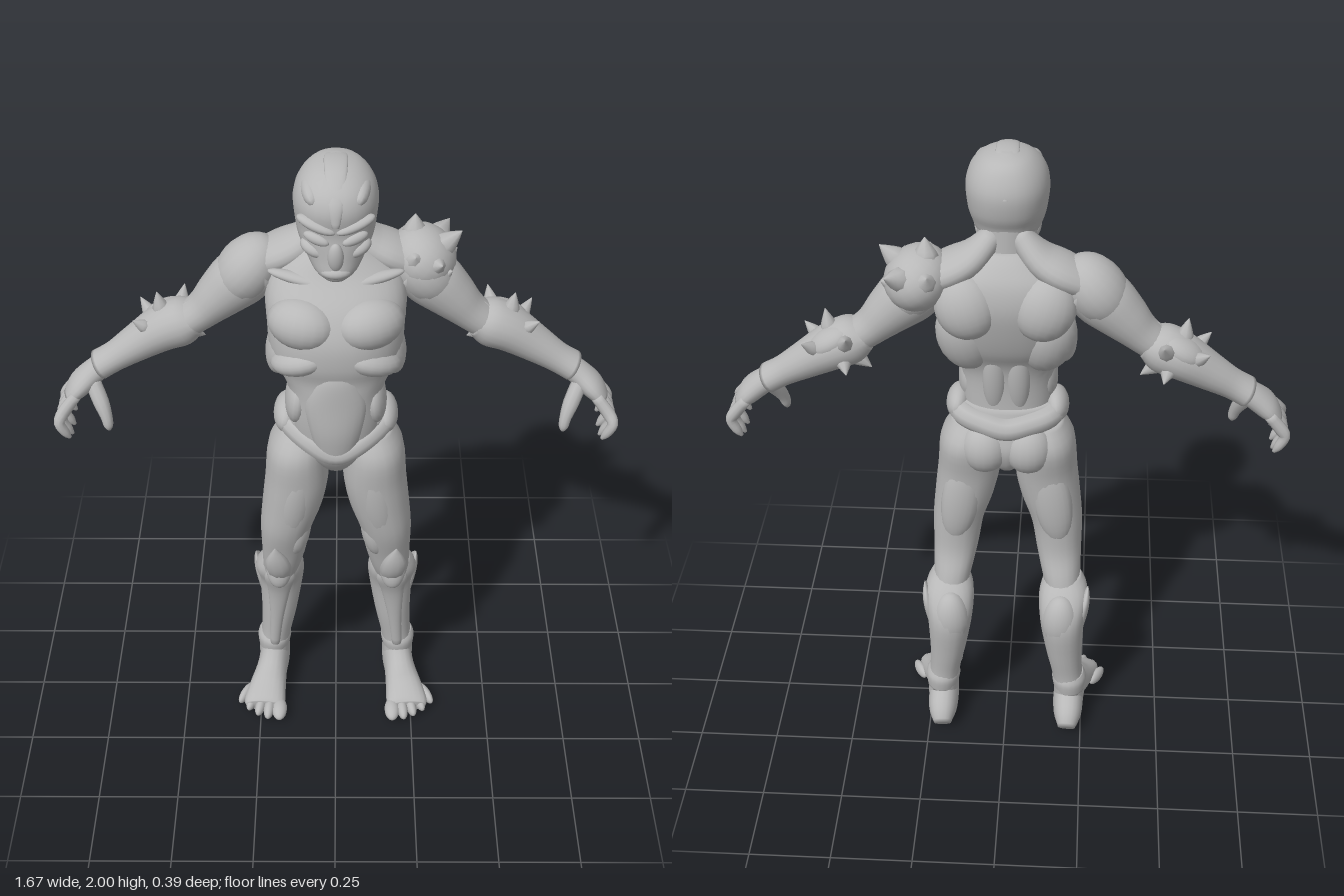
import * as THREE from 'three';

export function createModel() {
  const model = new THREE.Group();
  const grey = new THREE.MeshStandardMaterial({ color: 0xb8b8b8 });
  grey.name = 'stoneGrey';

  const add = (geo, name) => {
    const m = new THREE.Mesh(geo, grey);
    m.name = name;
    model.add(m);
    return m;
  };

  // Smooth skin over rings [x, y, z, halfWidth, halfDepth].
  // axis: 'level' keeps rings horizontal, 'x' or 'z' names the width axis of rings square to the path.
  function loft(name, rings, s = 1, axis = 'level', power = 1, sub = 4, seg = 20) {
    const R = rings.map(r => [r[0] * s, ...r.slice(1)]);
    const at = i => R[Math.max(0, Math.min(R.length - 1, i))];
    const rows = [];
    for (let i = 0; i < R.length - 1; i++) {
      for (let k = 0; k < sub || (i === R.length - 2 && k === sub); k++) {
        const t = k / sub;
        rows.push([0, 1, 2, 3, 4].map(c => {
          const [a, b, d, e] = [at(i - 1)[c], at(i)[c], at(i + 1)[c], at(i + 2)[c]];
          const v = b + 0.5 * t * (d - a + t * (2 * a - 5 * b + 4 * d - e + t * (3 * (b - d) + e - a)));
          return c > 2 ? Math.max(v, 0.0005) : v;
        }));
      }
    }
    const P = rows.map(r => new THREE.Vector3(r[0], r[1], r[2]));
    const pos = [], idx = [];
    const bend = v => Math.sign(v) * Math.abs(v) ** power;
    rows.forEach((r, i) => {
      const t = P[Math.min(i + 1, P.length - 1)].clone().sub(P[Math.max(i - 1, 0)]).normalize();
      if (axis === 'level') t.set(0, Math.sign(t.y), 0);
      const u = axis === 'z' ? new THREE.Vector3(0, 0, 1) : new THREE.Vector3(1, 0, 0);
      u.addScaledVector(t, -u.dot(t)).normalize();
      const v = t.clone().cross(u);
      for (let j = 0; j < seg; j++) {
        const q = j / seg * Math.PI * 2;
        const p = P[i].clone().addScaledVector(u, bend(Math.cos(q)) * r[3]).addScaledVector(v, bend(Math.sin(q)) * r[4]);
        pos.push(p.x, Math.max(0, p.y), p.z);
        if (i) {
          const a = (i - 1) * seg + j, b = (i - 1) * seg + (j + 1) % seg;
          idx.push(a, b, b + seg, a, b + seg, a + seg);
        }
      }
    });
    const n = rows.length * seg;
    pos.push(...P[0].toArray(), ...P[P.length - 1].toArray());
    for (let j = 0; j < seg; j++) {
      const k = (j + 1) % seg;
      idx.push(n, k, j, n + 1, n - seg + j, n - seg + k);
    }
    const g = new THREE.BufferGeometry();
    g.setAttribute('position', new THREE.Float32BufferAttribute(pos, 3));
    g.setIndex(idx);
    g.computeVertexNormals();
    return add(g, name);
  }

  // Ellipsoid muscle or plate, mirrored by s
  function lump(name, s, [x, y, z], size, [rx, ry, rz] = [0, 0, 0]) {
    const m = add(new THREE.SphereGeometry(1, 20, 14), name);
    m.position.set(x * s, y, z);
    m.scale.set(...size);
    m.rotation.set(rx, ry * s, rz * s);
  }

  // Leaf-shaped spike from a to b
  function spike(name, s, a, b, r) {
    const mix = (t, w) => [...a.map((v, i) => v + (b[i] - v) * t), w, w];
    loft(name, [mix(0, r * 0.8), mix(0.35, r), mix(0.7, r * 0.55), mix(1, 0.001)], s,
      Math.abs(b[2] - a[2]) > Math.abs(b[0] - a[0]) ? 'x' : 'z', 1, 3, 8);
  }

  // Head, mask and neck
  loft('head', [[0, 1.7, 0.11, 0.035, 0.045], [0, 1.72, 0.088, 0.062, 0.076], [0, 1.76, 0.045, 0.088, 0.115],
    [0, 1.8, 0.035, 0.104, 0.122], [0, 1.84, 0.025, 0.112, 0.13], [0, 1.9, 0.025, 0.116, 0.138],
    [0, 1.95, 0.022, 0.1, 0.12], [0, 1.985, 0.01, 0.064, 0.08], [0, 2, 0.005, 0.015, 0.025]], 1, 'level', 0.92, 4, 28);
  loft('neck', [[0, 1.64, -0.02, 0.1, 0.08], [0, 1.7, -0.015, 0.085, 0.075], [0, 1.77, -0.005, 0.085, 0.082],
    [0, 1.83, 0, 0.09, 0.085]]);
  loft('crest', [[0, 1.87, 0.163, 0.01, 0.006], [0, 1.93, 0.148, 0.022, 0.008], [0, 1.985, 0.08, 0.03, 0.008],
    [0, 1.996, 0, 0.032, 0.006], [0, 1.97, -0.06, 0.025, 0.008], [0, 1.9, -0.11, 0.008, 0.005]], 1, 'x');
  lump('nose', 1, [0, 1.775, 0.155], [0.022, 0.045, 0.018], [0.1, 0, 0]);
  lump('chin', 1, [0, 1.725, 0.135], [0.045, 0.022, 0.035]);

  // Trunk
  loft('torso', [[0, 1.1, 0.04, 0.125, 0.11], [0, 1.2, 0.048, 0.138, 0.113], [0, 1.3, 0.048, 0.14, 0.118],
    [0, 1.36, 0.04, 0.165, 0.125], [0, 1.42, 0.03, 0.19, 0.148], [0, 1.5, 0.015, 0.197, 0.16],
    [0, 1.58, -0.01, 0.2, 0.15], [0, 1.65, -0.035, 0.175, 0.115], [0, 1.7, -0.035, 0.11, 0.085],
    [0, 1.73, -0.03, 0.07, 0.06]], 1, 'level', 0.88, 4, 32);
  loft('abdomenPlate', [[0, 1.08, 0.125, 0.05, 0.035], [0, 1.18, 0.135, 0.075, 0.042], [0, 1.28, 0.135, 0.09, 0.042],
    [0, 1.36, 0.14, 0.065, 0.035], [0, 1.4, 0.14, 0.04, 0.025]]);
  loft('pelvis', [[0, 0.965, 0, 0.03, 0.045], [0, 1, 0.005, 0.055, 0.085], [0, 1.06, 0.015, 0.115, 0.115],
    [0, 1.12, 0.025, 0.15, 0.115], [0, 1.2, 0.04, 0.15, 0.108]], 1, 'level', 0.9);
  const belt = [[0, 1.1, 0.135], [0.08, 1.135, 0.115], [0.145, 1.17, 0.045], [0.13, 1.165, -0.03], [0.06, 1.15, -0.065],
    [0, 1.14, -0.075], [-0.06, 1.15, -0.065], [-0.13, 1.165, -0.03], [-0.145, 1.17, 0.045], [-0.08, 1.135, 0.115]];
  add(new THREE.TubeGeometry(new THREE.CatmullRomCurve3(belt.map(p => new THREE.Vector3(...p)), true),
    60, 0.036, 10, true), 'belt');

  for (const s of [1, -1]) {
    // Face
    lump('brow', s, [0.052, 1.865, 0.135], [0.058, 0.017, 0.025], [0, 0.35, 0.3]);
    lump('eye', s, [0.052, 1.825, 0.14], [0.038, 0.016, 0.015], [0, 0.4, 0.25]);
    lump('cheek', s, [0.058, 1.785, 0.115], [0.042, 0.022, 0.03], [0, 0.5, 0.35]);
    lump('skullRidge', s, [0.062, 1.93, 0.04], [0.032, 0.04, 0.1], [0, 0, -0.6]);
    lump('jaw', s, [0.075, 1.77, 0.04], [0.02, 0.03, 0.06], [-0.3, 0, 0]);

    // Chest and back muscles
    lump('pectoral', s, [0.095, 1.535, 0.105], [0.1, 0.075, 0.075], [-0.2, 0.35, 0.15]);
    lump('ribPlate', s, [0.1, 1.42, 0.11], [0.092, 0.045, 0.068], [0, 0.4, -0.3]);
    lump('sideRibs', s, [0.155, 1.42, 0.03], [0.045, 0.09, 0.085], [0, 0, 0.2]);
    lump('shoulderBlade', s, [0.11, 1.58, -0.115], [0.09, 0.1, 0.07], [0.15, 0, -0.3]);
    lump('backMuscle', s, [0.12, 1.45, -0.06], [0.08, 0.12, 0.07], [-0.25, 0, -0.25]);
    lump('lowerBack', s, [0.035, 1.3, -0.055], [0.035, 0.13, 0.028], [-0.15, 0, 0]);
    lump('waistMuscle', s, [0.11, 1.26, 0.06], [0.038, 0.085, 0.08], [0, 0, 0.1]);
    lump('collarBone', s, [0.1, 1.645, 0.05], [0.095, 0.016, 0.022], [0, 0.25, 0.15]);
    loft('trapezius', [[0.03, 1.78, -0.05, 0.03, 0.03], [0.09, 1.71, -0.06, 0.07, 0.045],
      [0.16, 1.67, -0.065, 0.085, 0.05], [0.25, 1.63, -0.065, 0.06, 0.04]], s, 'z');
    lump('hipGuard', s, [0.148, 1.175, 0.025], [0.036, 0.05, 0.075], [0.1, 0, 0.15]);
    lump('buttock', s, [0.065, 1.06, -0.05], [0.075, 0.085, 0.07]);

    // Arm
    lump('deltoid', s, [0.25, 1.615, -0.06], [0.085, 0.115, 0.095], [0, 0, 0.7]);
    loft('upperArm', [[0.2, 1.63, -0.06, 0.08, 0.07], [0.27, 1.585, -0.06, 0.085, 0.085], [0.33, 1.53, -0.06, 0.077, 0.072],
      [0.38, 1.48, -0.06, 0.066, 0.056], [0.43, 1.44, -0.06, 0.06, 0.05]], s, 'z');
    loft('forearm', [[0.4, 1.45, -0.06, 0.06, 0.045], [0.44, 1.435, -0.065, 0.076, 0.07], [0.5, 1.41, -0.07, 0.078, 0.068],
      [0.58, 1.36, -0.065, 0.063, 0.055], [0.65, 1.315, -0.058, 0.052, 0.044], [0.7, 1.285, -0.055, 0.056, 0.043]], s, 'z');
    lump('forearmPlate', s, [0.5, 1.44, -0.09], [0.075, 0.04, 0.055], [0, 0, -0.5]);
    [[[0.5, 1.44, -0.07], [0.515, 1.53, -0.065], 0.026], [[0.46, 1.43, -0.1], [0.445, 1.49, -0.175], 0.026],
      [[0.53, 1.41, -0.1], [0.575, 1.46, -0.15], 0.022], [[0.54, 1.42, -0.04], [0.585, 1.46, -0.02], 0.02],
      [[0.45, 1.44, -0.06], [0.425, 1.51, -0.05], 0.026], [[0.45, 1.4, -0.08], [0.385, 1.36, -0.1], 0.026],
      [[0.47, 1.4, -0.1], [0.45, 1.37, -0.165], 0.024]].forEach(q => spike('forearmSpike', s, ...q));

    // Hand
    loft('palm', [[0.68, 1.295, -0.05, 0.038, 0.035], [0.72, 1.265, -0.045, 0.048, 0.036],
      [0.76, 1.23, -0.035, 0.062, 0.034], [0.79, 1.195, -0.028, 0.058, 0.022]], s, 'z');
    for (let f = 0; f < 4; f++) {
      const z = 0.018 - f * 0.034, e = 0.055 - f * 0.047, h = [0.02, 0, 0, 0.02][f];
      loft('finger', [[0.768, 1.22, z, 0.016, 0.017], [0.805, 1.175, (z + e) / 2, 0.018, 0.019],
        [0.818, 1.13 + h, e, 0.016, 0.016], [0.803, 1.095 + h, e, 0.014, 0.014], [0.79, 1.075 + h, e, 0.004, 0.005]], s, 'z', 1, 3, 10);
    }
    loft('thumb', [[0.72, 1.25, -0.02, 0.022, 0.024], [0.695, 1.2, 0.015, 0.021, 0.024], [0.68, 1.16, 0.034, 0.017, 0.018],
      [0.675, 1.13, 0.042, 0.013, 0.014], [0.674, 1.115, 0.044, 0.003, 0.004]], s, 'z', 1, 3, 10);

    // Thigh and knee
    loft('thigh', [[0.1, 1.13, 0.02, 0.065, 0.08], [0.115, 1.06, 0.022, 0.088, 0.118], [0.118, 0.95, 0.03, 0.096, 0.108],
      [0.133, 0.85, 0.03, 0.092, 0.1], [0.154, 0.75, 0.027, 0.08, 0.09], [0.163, 0.65, 0.012, 0.071, 0.076],
      [0.172, 0.57, -0.01, 0.062, 0.077], [0.18, 0.51, -0.03, 0.055, 0.07]], s, 'level', 0.9);
    lump('outerThigh', s, [0.18, 0.88, 0.03], [0.04, 0.2, 0.075], [0, 0, 0.12]);
    lump('frontThigh', s, [0.125, 0.89, 0.095], [0.055, 0.17, 0.042], [0.08, 0, 0.15]);
    lump('innerThigh', s, [0.12, 0.74, 0.05], [0.042, 0.1, 0.055], [0, 0, 0.15]);
    lump('hamstring', s, [0.14, 0.86, -0.04], [0.06, 0.17, 0.04], [0, 0, 0.15]);
    lump('kneeCap', s, [0.18, 0.585, 0.055], [0.042, 0.075, 0.035], [-0.3, 0, 0]);
    loft('kneeSpike', [[0.17, 0.52, 0.03, 0.025, 0.02], [0.178, 0.59, 0.075, 0.04, 0.028],
      [0.185, 0.65, 0.1, 0.034, 0.02], [0.188, 0.71, 0.115, 0.002, 0.002]], s, 'x', 1, 4, 10);

    // Shin guard
    loft('lowerLeg', [[0.182, 0.56, -0.02, 0.052, 0.055], [0.183, 0.51, -0.05, 0.077, 0.08], [0.18, 0.43, -0.085, 0.072, 0.084],
      [0.188, 0.3, -0.083, 0.059, 0.073], [0.2, 0.2, -0.08, 0.05, 0.061], [0.208, 0.14, -0.08, 0.05, 0.06],
      [0.21, 0.08, -0.075, 0.05, 0.06]], s, 'level', 0.9);
    lump('calf', s, [0.175, 0.43, -0.115], [0.06, 0.1, 0.055]);
    loft('shinRidge', [[0.205, 0.17, -0.025, 0.016, 0.012], [0.195, 0.3, -0.015, 0.022, 0.016],
      [0.185, 0.43, -0.002, 0.036, 0.02], [0.18, 0.51, 0.02, 0.05, 0.022], [0.178, 0.55, 0.03, 0.03, 0.012]], s, 'x');
    loft('shinFin', [[0.235, 0.37, -0.08, 0.012, 0.025], [0.245, 0.45, -0.08, 0.018, 0.04],
      [0.253, 0.5, -0.078, 0.014, 0.034], [0.26, 0.535, -0.07, 0.002, 0.006]], s);
    loft('ankleGuard', [[0.207, 0.19, -0.082, 0.046, 0.056], [0.208, 0.165, -0.08, 0.056, 0.066],
      [0.21, 0.12, -0.08, 0.05, 0.06]], s);

    // Foot
    loft('foot', [[0.205, 0.03, -0.19, 0.028, 0.03], [0.207, 0.055, -0.15, 0.045, 0.058], [0.208, 0.07, -0.08, 0.05, 0.075],
      [0.215, 0.07, -0.01, 0.05, 0.07], [0.228, 0.046, 0.05, 0.06, 0.05], [0.238, 0.028, 0.11, 0.068, 0.034],
      [0.24, 0.024, 0.13, 0.06, 0.024]], s, 'x', 0.9);
    for (let i = 0; i < 5; i++) {
      const x = [0.188, 0.222, 0.25, 0.277, 0.302][i], z = 0.142 - i * i * 0.0045, r = i ? 0.019 - i * 0.0008 : 0.025;
      lump('toe', s, [x, 0.024, z], [r, 0.023, 0.045], [0.1, 0.12 * i, 0]);
    }
  }

  // Spiked armour on the left shoulder only
  lump('shoulderArmour', 1, [0.245, 1.645, -0.075], [0.1, 0.09, 0.11], [0, 0, -0.6]);
  [[[0.22, 1.69, -0.09], [0.222, 1.775, -0.085], 0.036], [[0.28, 1.67, -0.06], [0.352, 1.735, -0.06], 0.036],
    [[0.27, 1.66, -0.12], [0.325, 1.7, -0.192], 0.036], [[0.27, 1.65, -0.02], [0.295, 1.68, 0.04], 0.03],
    [[0.3, 1.63, -0.09], [0.345, 1.65, -0.115], 0.03], [[0.22, 1.66, -0.14], [0.21, 1.7, -0.185], 0.032],
    [[0.22, 1.67, -0.01], [0.22, 1.7, 0.03], 0.028], [[0.29, 1.61, -0.03], [0.325, 1.64, 0], 0.028]]
    .forEach(q => spike('shoulderSpike', 1, ...q));

  return model;
}
